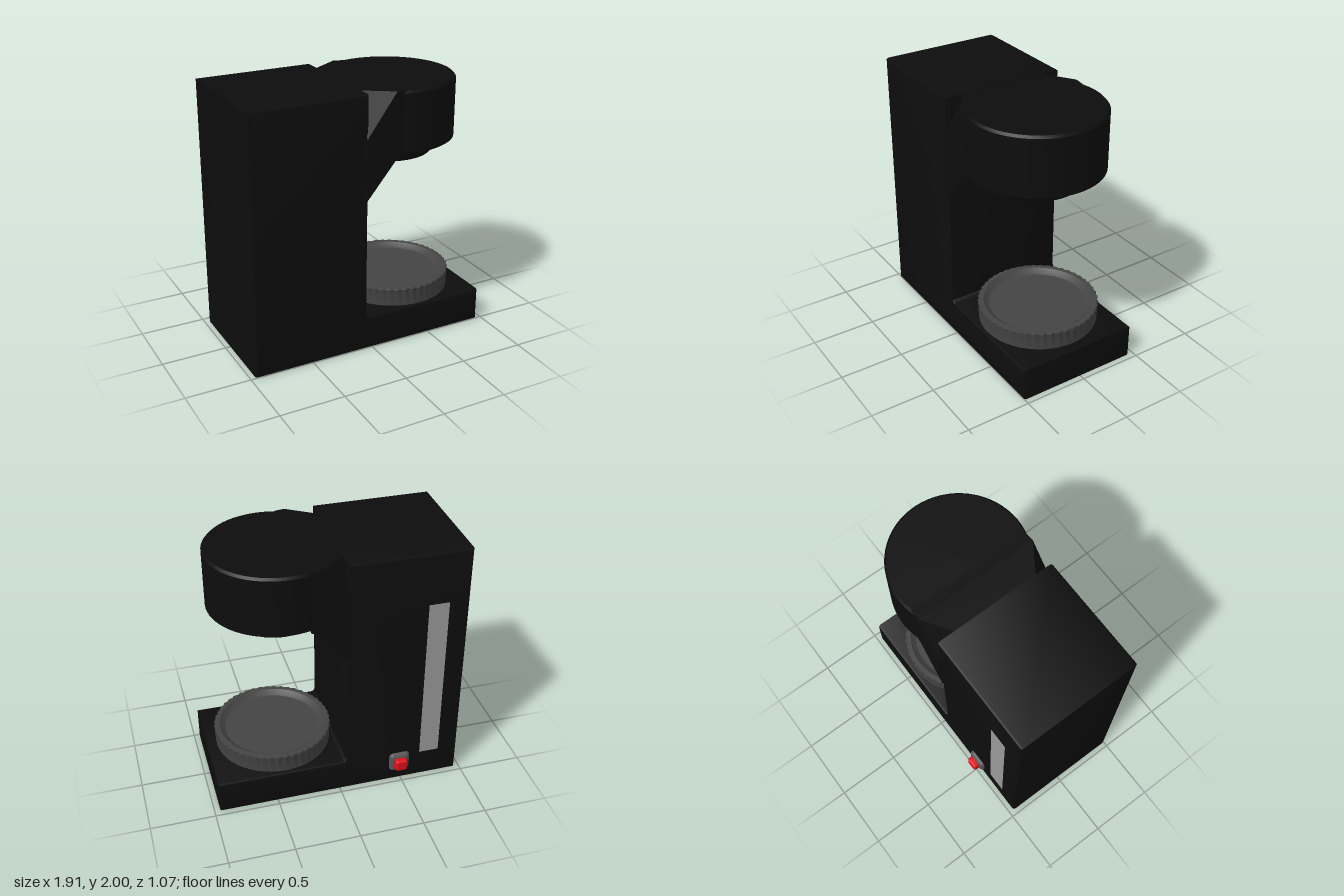
import * as THREE from 'three';
import { ConvexGeometry } from 'three/addons/geometries/ConvexGeometry.js';
import { RoundedBoxGeometry } from 'three/addons/geometries/RoundedBoxGeometry.js';
import { toCreasedNormals } from 'three/addons/utils/BufferGeometryUtils.js';

const MID = 0.022; // depth centre of the housing

export function createModel() {
  const model = new THREE.Group();
  const mat = (color) => new THREE.MeshStandardMaterial({ color });
  const black = mat(0x0d0d0d), darkGrey = mat(0x444444), grey = mat(0x555555);
  const lightGrey = mat(0x999999), red = mat(0xdd1118);

  const add = (name, geometry, material, x = 0, y = 0, z = 0) => {
    const mesh = new THREE.Mesh(geometry, material);
    mesh.name = name;
    mesh.position.set(x, y, z);
    model.add(mesh);
    return mesh;
  };
  const v2 = (list) => list.map(([x, y]) => new THREE.Vector2(x, y));
  const hull = (list) => new ConvexGeometry(list.map((p) => new THREE.Vector3(...p)));

  // Column and base: one L-shaped profile with a small chamfer
  const profile = new THREE.Shape(v2([
    [-0.96, 0], [0.955, 0], [0.955, 0.262], [-0.03, 0.262],
    [-0.05, 0.285], [-0.05, 2], [-0.96, 2],
  ]));
  const housing = new THREE.ExtrudeGeometry(profile, {
    depth: 0.93, bevelEnabled: true, bevelSegments: 2,
    bevelSize: 0.02, bevelThickness: 0.02, bevelOffset: -0.02,
  });
  add('housing', toCreasedNormals(housing, 0.5), black, 0, 0, MID - 0.465);

  // Round brewing head with a stepped, tapering underside
  const head = new THREE.LatheGeometry(v2([
    [0, 1.4], [0.31, 1.4], [0.335, 1.41], [0.37, 1.45], [0.41, 1.48],
    [0.49, 1.518], [0.508, 1.53], [0.508, 1.972], [0.492, 1.99], [0, 1.99],
  ]), 64);
  add('brewHead', toCreasedNormals(head, 0.6), black, 0.372, 0, MID);

  // Neck joining head and column, with slanted cuts at its upper corners
  const neckPoints = [];
  for (const s of [-1, 1]) {
    neckPoints.push(
      [-0.07, 1.995, s * 0.33], [0.17, 1.995, s * 0.487], [0.25, 1.99, s * 0.482],
      [-0.07, 1.68, s * 0.497], [-0.07, 1.5, s * 0.497], [0.22, 1.5, s * 0.483],
    );
  }
  add('neck', hull(neckPoints), black, 0, 0, MID);

  // Tapered gussets under both sides of the neck
  for (const s of [-1, 1]) {
    add(s > 0 ? 'frontGusset' : 'backGusset', hull([
      [-0.07, 1.21, s * 0.496], [0.2, 1.52, s * 0.485],
      [-0.07, 1.52, s * 0.497], [-0.07, 1.52, s * 0.2],
    ]), black, 0, 0, MID);
  }

  // Cup plate: shallow dish with a notched upper rim
  const plate = new THREE.LatheGeometry(v2([
    [0, 0.25], [0.452, 0.25], [0.452, 0.385], [0.456, 0.395], [0.452, 0.405],
    [0.415, 0.405], [0.395, 0.385], [0.37, 0.37], [0, 0.37],
  ]), 96);
  const pos = plate.attributes.position;
  for (let i = 0; i < pos.count; i++) {
    const x = pos.getX(i), z = pos.getZ(i), r = Math.hypot(x, z);
    if (r < 0.45 || pos.getY(i) < 0.38) continue;
    const k = 1 + 0.012 * Math.cos(48 * Math.atan2(z, x));
    pos.setXYZ(i, x * k, pos.getY(i), z * k);
  }
  add('cupPlate', toCreasedNormals(plate, 0.5), darkGrey, 0.425, 0, 0.025);

  // Water level strip on the back
  add('levelStrip', new THREE.BoxGeometry(0.155, 1.36, 0.02), lightGrey, -0.725, 0.91, -0.455);

  // Power switch on the back
  add('switchBase', new RoundedBoxGeometry(0.165, 0.165, 0.09, 4, 0.035), grey, -0.48, 0.18, -0.45);
  add('switchButton', new RoundedBoxGeometry(0.098, 0.098, 0.08, 4, 0.02), red, -0.48, 0.18, -0.5);

  return model;
}
